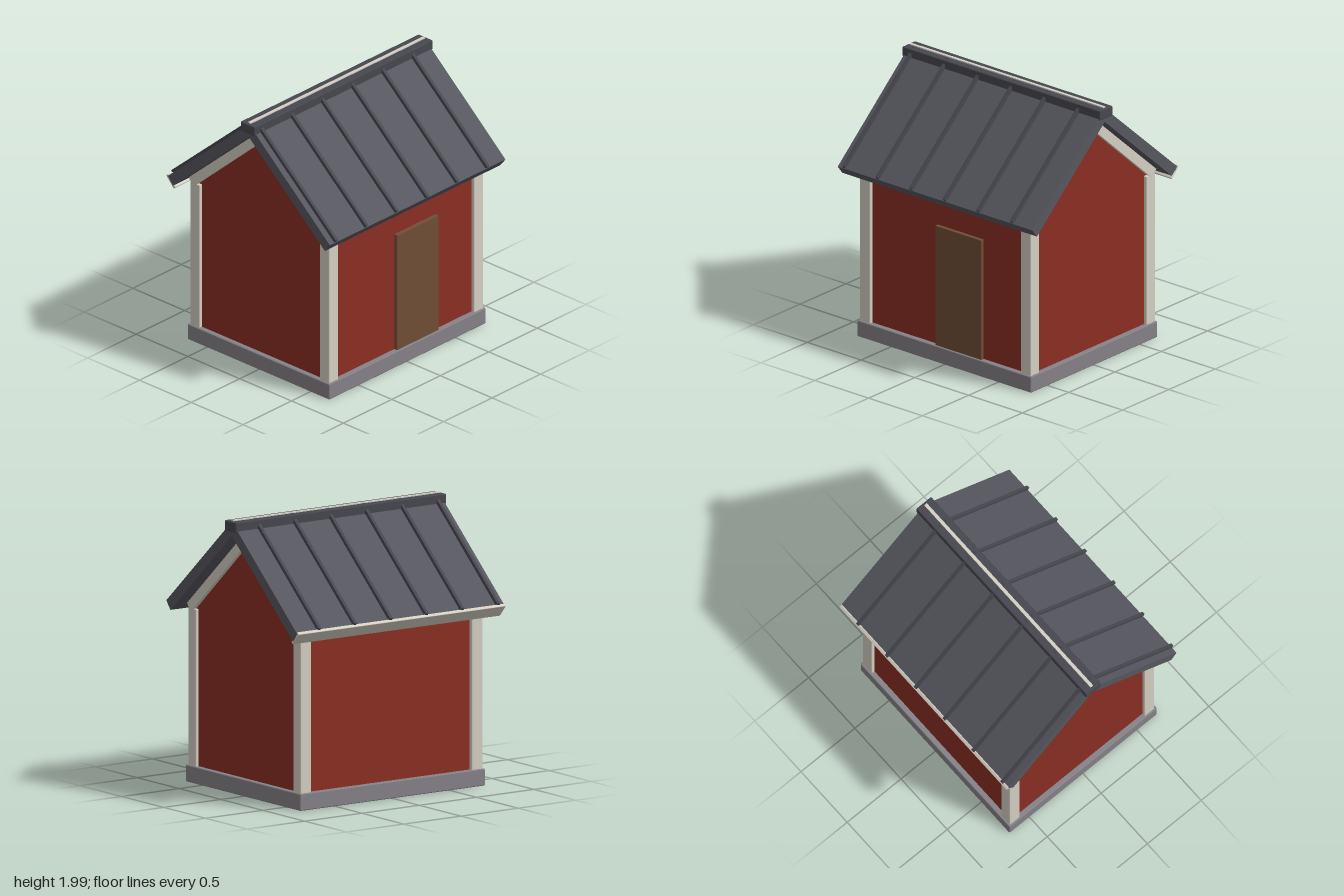
import * as THREE from 'three';
import { RoundedBoxGeometry } from 'three/addons/geometries/RoundedBoxGeometry.js';

const paint = (name, color) => {
  const m = new THREE.MeshStandardMaterial({ color });
  m.name = name;
  return m;
};

export function createModel() {
  const red = paint('barnRed', 0x8b2e23);
  const cream = paint('creamTrim', 0xd6d0c4);
  const slate = paint('slateRoof', 0x57575f);
  const dark = paint('darkMetal', 0x47474f);
  const stone = paint('foundationGrey', 0x858288);
  const wood = paint('doorWood', 0x704e36);

  const shed = new THREE.Group();
  shed.name = 'shed';

  const add = (name, geometry, material, x = 0, y = 0, z = 0, tilt = 0) => {
    const mesh = new THREE.Mesh(geometry, material);
    mesh.name = name;
    mesh.position.set(x, y, z);
    mesh.rotation.x = tilt;
    shed.add(mesh);
    return mesh;
  };
  // Box with a small edge bevel
  const bevelBox = (w, h, d, r = 0.006) => new RoundedBoxGeometry(w, h, d, 1, r);
  // Prism along x from half of a symmetric [z, y] outline
  const prism = (outer, inner, length) => {
    const mirror = (p) => p.filter(([z]) => z > 0).map(([z, y]) => [-z, y]);
    const pts = [...outer, ...inner, ...mirror(inner).reverse(), ...mirror(outer).reverse()];
    const shape = new THREE.Shape(pts.map(([z, y]) => new THREE.Vector2(z, y)));
    return new THREE.ExtrudeGeometry(shape, { depth: length, bevelEnabled: false })
      .translate(0, 0, -length / 2)
      .rotateY(Math.PI / 2);
  };

  // Foundation and gabled walls
  add('foundation', bevelBox(1.615, 0.122, 1.37, 0.008), stone, 0, 0.061, 0);
  add('walls', prism([[0, 1.89]], [[0.645, 1.32], [0.645, 0.11]], 1.54), red);

  // Corner posts
  for (const sx of [-1, 1]) {
    for (const sz of [-1, 1]) {
      add('cornerPost', bevelBox(0.095, 1.14, 0.092), cream, sx * 0.7475, 0.68, sz * 0.626);
    }
  }

  // Trim following each gable
  for (const sx of [-1, 1]) {
    add('gableTrim',
      prism([[0, 1.885], [0.68, 1.283]], [[0.635, 1.225], [0, 1.79]], 0.035),
      cream, sx * 0.782);
  }

  // Door
  add('door', bevelBox(0.43, 0.915, 0.04), wood, 0.12, 0.575, 0.652);

  // Roof panels
  add('roof', prism([[0, 1.983], [0.782, 1.297]], [[0.733, 1.235], [0, 1.88]], 1.81), slate);

  // Standing seams on both slopes
  const slope = Math.atan2(0.686, 0.782);
  for (const side of [-1, 1]) {
    for (let i = 0; i < 6; i++) {
      add('roofSeam', new THREE.BoxGeometry(0.024, 0.03, 1.02), dark,
        -0.845 + i * 0.312, 1.644, side * 0.402, side * slope);
    }
  }

  // Ridge cap, ridge strip and rear eave board
  add('ridgeCap', bevelBox(1.84, 0.074, 0.138, 0.008), dark, 0, 1.949, 0);
  add('ridgeStrip', new THREE.BoxGeometry(1.8, 0.016, 0.024), cream, 0, 1.986, 0);
  add('rearFascia', bevelBox(1.81, 0.108, 0.025, 0.004), cream, 0, 1.263, -0.754, -slope);

  return shed;
}
